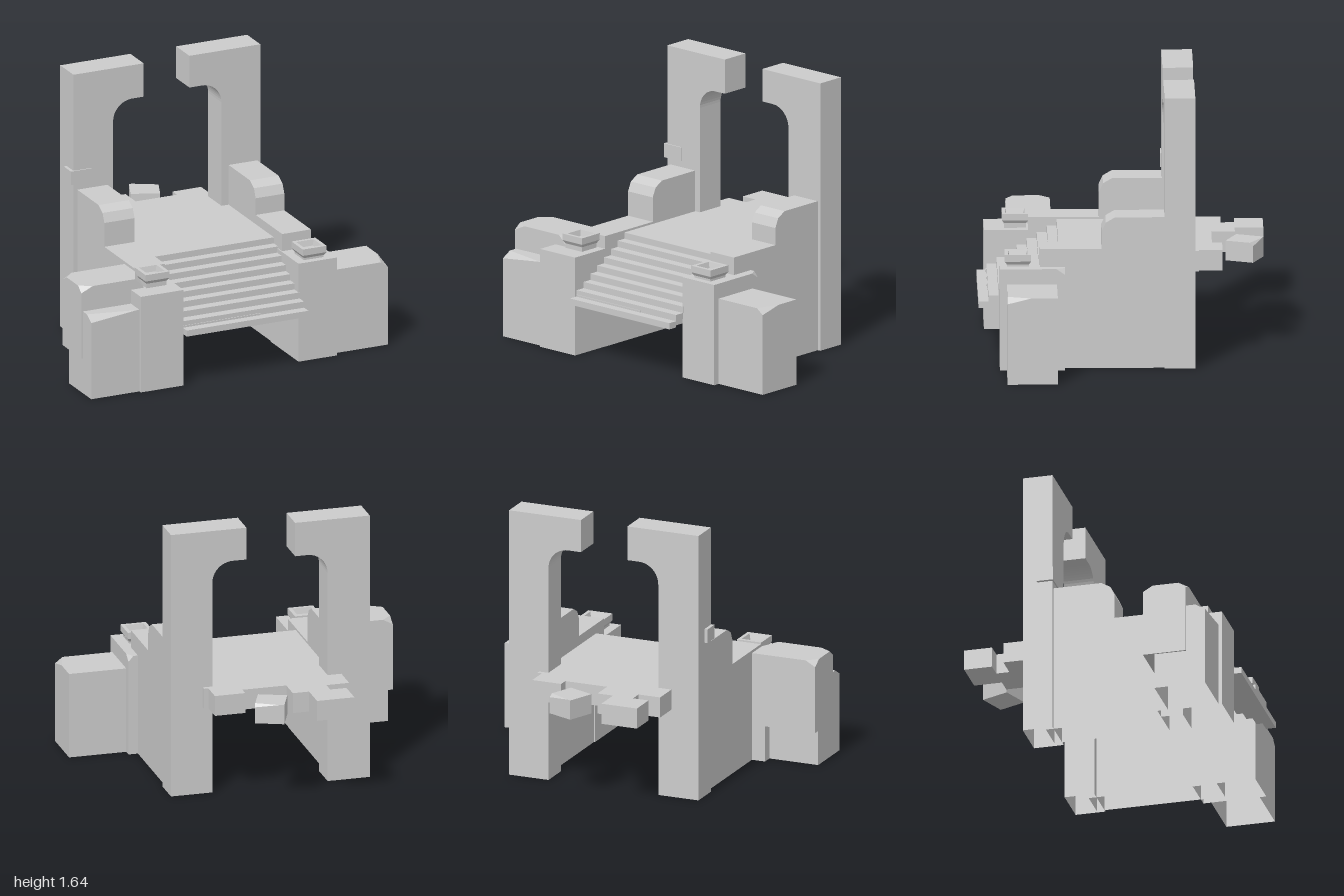
import * as THREE from 'three';
import { ConvexGeometry } from 'three/addons/geometries/ConvexGeometry.js';

export function createModel() {
  const root = new THREE.Group();
  const material = new THREE.MeshStandardMaterial({ color: 0xcccccc, flatShading: true, side: THREE.DoubleSide });

  const add = (name, geometry) => {
    const mesh = new THREE.Mesh(geometry, material);
    mesh.name = name;
    root.add(mesh);
    return mesh;
  };

  // Leaves the underside open on parts that stand on the ground
  const openBottom = (geometry) => {
    const g = geometry.index ? geometry.toNonIndexed() : geometry;
    const p = g.attributes.position;
    const kept = [];
    for (let i = 0; i < p.count; i += 3) {
      if (Math.max(p.getY(i), p.getY(i + 1), p.getY(i + 2)) < 0.001) continue;
      for (let j = i; j < i + 3; j++) kept.push(p.getX(j), p.getY(j), p.getZ(j));
    }
    const out = new THREE.BufferGeometry();
    out.setAttribute('position', new THREE.Float32BufferAttribute(kept, 3));
    out.computeVertexNormals();
    return out;
  };

  // Box given by its limits; each chip [sx, sy, sz, dx, dy, dz] cuts one corner
  const block = (name, [x0, x1], [y0, y1], [z0, z1], chips = []) => {
    const pts = [];
    for (const sx of [-1, 1]) for (const sy of [-1, 1]) for (const sz of [-1, 1]) {
      const corner = new THREE.Vector3(sx < 0 ? x0 : x1, sy < 0 ? y0 : y1, sz < 0 ? z0 : z1);
      const chip = chips.find((c) => c[0] === sx && c[1] === sy && c[2] === sz);
      if (!chip) { pts.push(corner); continue; }
      pts.push(corner.clone().setX(corner.x - sx * chip[3]));
      pts.push(corner.clone().setY(corner.y - sy * chip[4]));
      pts.push(corner.clone().setZ(corner.z - sz * chip[5]));
    }
    const g = new ConvexGeometry(pts);
    return add(name, y0 === 0 ? openBottom(g) : g);
  };

  const toShape = (pts) => new THREE.Shape(pts.map(([x, y]) => new THREE.Vector2(x, y)));

  // Extrudes a side profile of (z, y) points from x0 to x1
  const sideExtrude = (pts, x0, x1) =>
    new THREE.ExtrudeGeometry(toShape(pts), { depth: x1 - x0, bevelEnabled: false })
      .rotateY(-Math.PI / 2).translate(x1, 0, 0);

  // Broken arch: two pillars, each with a short arm and a curved inner corner
  const pillar = (name, outer, inner, tip, under) => {
    const s = Math.sign(outer);
    const r = 0.125;
    const shape = new THREE.Shape();
    shape.moveTo(outer, 0);
    shape.lineTo(outer, 1.645);
    shape.lineTo(tip, 1.645);
    shape.lineTo(tip, under);
    shape.lineTo(inner - s * r, under);
    shape.absarc(inner - s * r, under - r, r, Math.PI / 2, s > 0 ? 0 : Math.PI, s > 0);
    shape.lineTo(inner, 0);
    const g = new THREE.ExtrudeGeometry(shape, { depth: 0.182, bevelEnabled: false, curveSegments: 6 });
    add(name, openBottom(g.translate(0, 0, -0.435)));
  };
  pillar('rightArchPillar', -0.615, -0.355, -0.155, 1.435);
  pillar('leftArchPillar', 0.61, 0.355, 0.145, 1.445);
  block('pillarStone', [-0.635, -0.5], [0.955, 1.04], [-0.345, -0.245]);

  // Side walls with a raised, rounded shoulder against the pillars
  const wall = (name, x0, x1, top, front) => add(name, openBottom(sideExtrude([
    [-0.3, 0], [front, 0], [front, top], [0.12, top], [0.12, 0.83],
    [0.095, 0.885], [0.04, 0.917], [-0.3, 0.917],
  ], x0, x1)));
  wall('rightWall', -0.59, -0.392, 0.68, 0.538);
  wall('leftWall', 0.402, 0.59, 0.725, 0.485);

  // Wall end posts
  block('rightPost', [-0.675, -0.394], [0, 0.602], [0.405, 0.8]);
  block('leftPost', [0.396, 0.648], [0, 0.617], [0.337, 0.722], [[1, 1, -1, 0.03, 0.035, 0.05]]);

  // Square bowls on the posts
  const bowlProfile = [[0.065, 0.6], [0.065, 0.63], [0.078, 0.65], [0.078, 0.69],
    [0.057, 0.69], [0.047, 0.655], [0, 0.655]]
    .map(([half, y]) => new THREE.Vector2(half * Math.SQRT2, y));
  for (const [name, x] of [['rightBowl', -0.514], ['leftBowl', 0.516]]) {
    const g = new THREE.LatheGeometry(bowlProfile, 4).rotateY(Math.PI / 4);
    add(name, g.translate(x, 0, 0.615));
  }

  // Rocks beside the posts
  block('rightUpperRock', [-1, -0.592], [0.22, 0.665], [0.402, 0.664], [
    [-1, 1, -1, 0.06, 0.035, 0.06],
    [-1, 1, 1, 0.075, 0.035, 0.045],
    [1, 1, 1, 0.055, 0.055, 0.12],
  ]);
  block('rightLowerRock', [-0.99, -0.67], [0, 0.515], [0.47, 0.78], [[-1, 1, 1, 0.3, 0.035, 0.06]]);
  block('leftRock', [0.64, 1], [0, 0.525], [0.385, 0.682], [[1, 1, 1, 0.045, 0.035, 0.14]]);

  // Deck with a broken back edge
  const deckOutline = [
    [-0.392, 0.37], [-0.392, -0.3], [-0.44, -0.3], [-0.44, -0.6], [-0.3, -0.6], [-0.3, -0.68],
    [-0.4, -0.68], [-0.4, -0.85], [-0.17, -0.85], [-0.17, -0.68], [-0.07, -0.68], [-0.07, -0.54],
    [0.2, -0.54], [0.2, -0.6], [0.387, -0.6], [0.387, -0.46], [0.415, -0.46], [0.415, -0.3],
    [0.402, -0.3], [0.402, 0.37],
  ];
  const deck = new THREE.ExtrudeGeometry(toShape(deckOutline.map(([x, z]) => [x, -z])),
    { depth: 0.125, bevelEnabled: false });
  add('deck', deck.rotateX(-Math.PI / 2).translate(0, 0.542, 0));

  // Loose slab fallen from the deck
  const slab = block('looseSlab', [-0.0875, 0.0875], [-0.06, 0.06], [-0.0875, 0.0875],
    [[1, 1, -1, 0.15, 0.02, 0.02]]);
  slab.position.set(0.08, 0.6, -0.735);
  slab.rotation.y = -0.385;

  // Staircase, stepped on top and underneath
  const steps = 8;
  const rise = 0.0383;
  const run = 0.0595;
  const upper = [];
  const lower = [];
  for (let i = 0; i < steps; i++) {
    const z = 0.369 + i * run;
    const y = 0.667 - (i + 1) * rise;
    upper.push([z, y], [z + run, y]);
    lower.push([z, y - rise], [z + run, y - rise]);
  }
  add('stairs', sideExtrude([...upper, ...lower.reverse()], -0.395, 0.402));
  block('brokenStep', [-0.393, 0.115], [0.328, 0.372], [0.67, 0.79]);

  return root;
}
